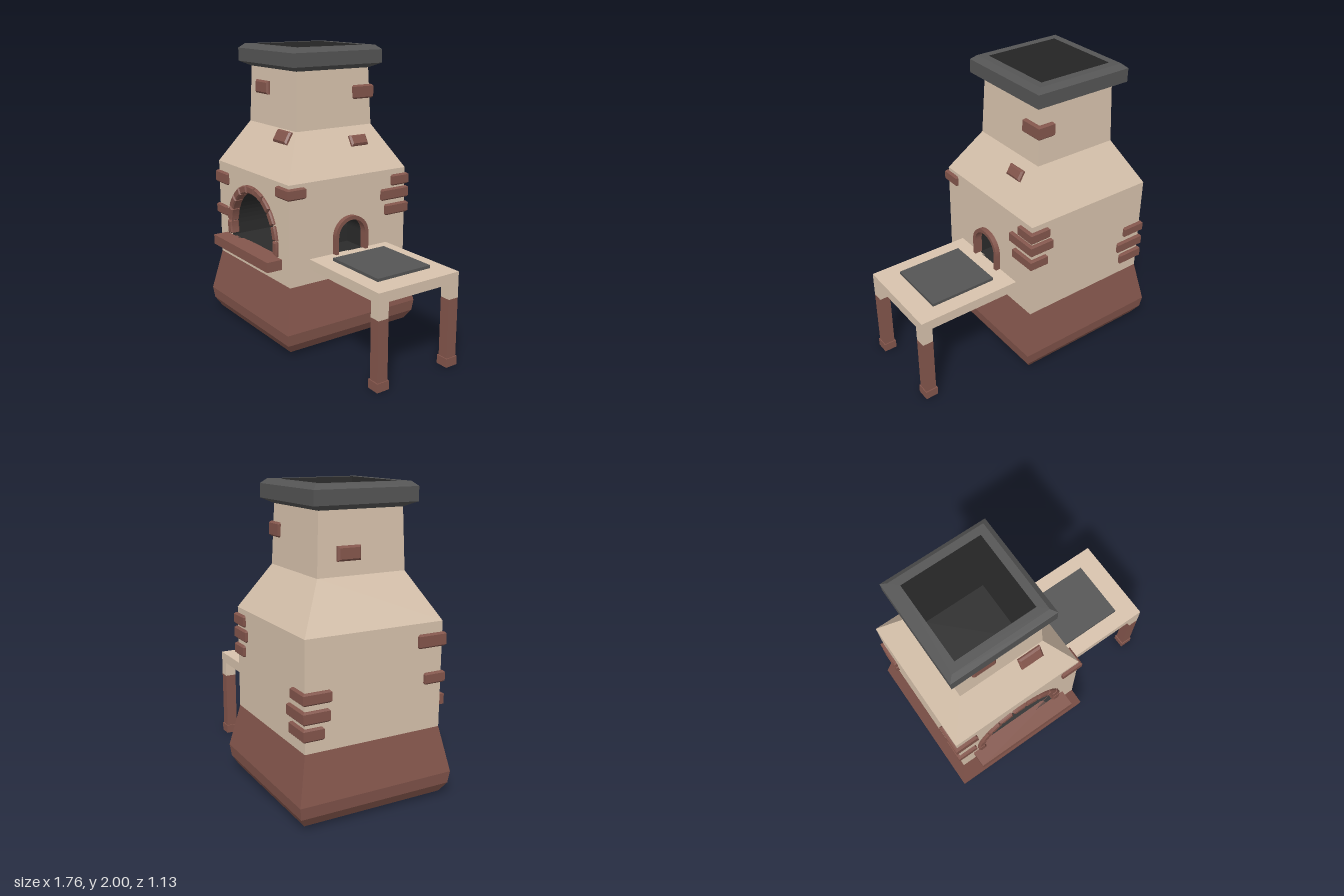
import * as THREE from 'three';

const mat = (color, side = THREE.FrontSide) =>
  new THREE.MeshStandardMaterial({ color, side, flatShading: true });

export function createModel() {
  const model = new THREE.Group();
  const oven = new THREE.Group();
  oven.name = 'oven';
  oven.position.set(-0.34, 0, -0.025);
  model.add(oven);

  const D = THREE.DoubleSide;
  const plaster = mat(0xd8c3ad), plasterThin = mat(0xd8c3ad, D);
  const brick = mat(0x84564c), brickThin = mat(0x84564c, D);
  const iron = mat(0x555555), ironThin = mat(0x555555, D);
  const soot = mat(0x2b2b2b, D);

  const add = (parent, name, geometry, material, x = 0, y = 0, z = 0) => {
    const mesh = new THREE.Mesh(geometry, material);
    mesh.name = name;
    mesh.position.set(x, y, z);
    parent.add(mesh);
    return mesh;
  };

  // Box given by its limits on each axis
  const block = (parent, name, material, [x0, x1], [y0, y1], [z0, z1]) =>
    add(parent, name, new THREE.BoxGeometry(x1 - x0, y1 - y0, z1 - z0), material,
      (x0 + x1) / 2, (y0 + y1) / 2, (z0 + z1) / 2);

  // Square shell from [half width, height] pairs
  const squareShell = (name, profile, material) => {
    const pts = profile.map(([h, y]) => new THREE.Vector2(h * Math.SQRT2, y));
    add(oven, name, new THREE.LatheGeometry(pts, 4, Math.PI / 4).toNonIndexed(), material);
  };

  // Turned frame: its +z looks out of the front, right, back or left face
  const faceFrame = (quarter) => {
    const frame = new THREE.Group();
    frame.name = ['frontFace', 'rightFace', 'backFace', 'leftFace'][quarter];
    frame.rotation.y = quarter * Math.PI / 2;
    oven.add(frame);
    return frame;
  };
  const faces = [0, 1, 2, 3].map(faceFrame);

  // Bevelled extrusion centred on z = 0, keeping the outline's size
  const bevelled = (shape, depth, bevel) => {
    const g = new THREE.ExtrudeGeometry(shape, {
      depth: depth - 2 * bevel, bevelEnabled: true, bevelSegments: 1,
      bevelSize: bevel, bevelThickness: bevel, bevelOffset: -bevel, curveSegments: 3,
    });
    return g.translate(0, 0, bevel - depth / 2);
  };
  const polygon = (pts) => new THREE.Shape(pts.map(([x, y]) => new THREE.Vector2(x, y)));

  const arch = (r, bottom, spring) => {
    const s = new THREE.Shape();
    s.moveTo(-r, bottom);
    s.lineTo(r, bottom);
    s.lineTo(r, spring);
    s.absarc(0, spring, r, 0, Math.PI, false);
    return s;
  };

  // Base, shoulder, chimney, cap and flue
  const W = 0.478, Y0 = 0.47, Y1 = 1.16;
  squareShell('base', [[0.42, 0], [0.49, 0.025], [0.53, 0.09], [0.54, 0.17], [W, Y0]], brickThin);
  squareShell('chimney', [[W, Y1], [0.305, 1.46], [0.29, 1.86]], plasterThin);
  squareShell('chimneyCap', [[0.285, 1.845], [0.357, 1.88], [0.357, 1.97], [0.323, 2], [0.27, 2]], ironThin);
  squareShell('flue', [[0.27, 2], [0.217, 1.45], [0, 1.45]], soot);

  // Upright walls, two of them with an arched opening and a niche behind
  const openings = [
    { r: 0.3, spring: 0.72, depth: 0.6 },
    { r: 0.112, spring: 0.755, depth: 0.22 },
  ];
  faces.forEach((face, i) => {
    const wall = polygon([[-W, Y0], [W, Y0], [W, Y1], [-W, Y1]]);
    const o = openings[i];
    if (o) {
      const outline = arch(o.r, 0.64, o.spring);
      wall.holes.push(outline);
      const pts = outline.getPoints(14), pos = [];
      pts.forEach((a, k) => {
        const b = pts[(k + 1) % pts.length], d = -o.depth;
        pos.push(a.x, a.y, 0, a.x, a.y, d, b.x, b.y, d, a.x, a.y, 0, b.x, b.y, d, b.x, b.y, 0);
      });
      const sides = new THREE.BufferGeometry();
      sides.setAttribute('position', new THREE.Float32BufferAttribute(pos, 3));
      sides.computeVertexNormals();
      add(face, 'nicheWalls', sides, soot, 0, 0, W);
      add(face, 'nicheBack', new THREE.ShapeGeometry(outline, 14), soot, 0, 0, W - o.depth);
    }
    add(face, 'wall', new THREE.ShapeGeometry(wall, 14), plasterThin, 0, 0, W);
  });

  // Brick arch round the front mouth
  const count = 11, start = -0.23, step = (Math.PI + 0.46) / count;
  for (let i = 0; i < count; i++) {
    const a0 = start + i * step + 0.012, a1 = start + (i + 1) * step - 0.012;
    const wedge = new THREE.Shape();
    wedge.absarc(0, 0, 0.342, a0, a1, false);
    wedge.absarc(0, 0, 0.287, a1, a0, true);
    add(faces[0], 'archBrick', bevelled(wedge, 0.07, 0.009), brick, 0, 0.72, W - 0.015);
  }
  block(oven, 'sill', brick, [-0.38, 0.38], [0.57, 0.64], [W - 0.03, 0.59]);

  // Rim of the small side opening
  const rim = arch(0.136, 0.64, 0.755);
  rim.holes.push(arch(0.11, 0.64, 0.755));
  add(faces[1], 'sideArch',
    new THREE.ExtrudeGeometry(rim, { depth: 0.055, bevelEnabled: false, curveSegments: 12 }),
    brick, 0, 0, W - 0.02);

  // Single bricks: face, offset along it, height, width, tall, half width there, lean
  [
    [0, -0.12, 1.715, 0.165, 0.09, 0.295, -0.04],
    [0, 0.19, 1.412, 0.165, 0.09, 0.333, -0.52],
    [1, 0.153, 1.365, 0.137, 0.075, 0.36, -0.52],
    [3, -0.095, 1.595, 0.16, 0.09, 0.3, -0.04],
  ].forEach(([f, u, y, w, h, half, lean]) => {
    const s = polygon([[-w / 2, -h / 2], [w / 2, -h / 2], [w / 2, h / 2], [-w / 2, h / 2]]);
    add(faces[f], 'wallBrick', bevelled(s, 0.05, 0.012), brick, u, y, half).rotation.x = lean;
  });

  // Corner bricks: quarter turn, reach along each face, height, tall, half width there
  [
    [0, 0.155, 0.14, 1.098, 0.076, W],
    [1, 0.145, 0.15, 1.083, 0.077, W],
    [1, 0.235, 0.18, 0.988, 0.08, W],
    [1, 0.2, 0.14, 0.878, 0.077, W],
    [1, 0.165, 0.13, 1.688, 0.093, 0.297],
    [2, 0.17, 0.19, 0.807, 0.075, W],
    [2, 0.22, 0.18, 0.693, 0.08, W],
    [2, 0.19, 0.14, 0.588, 0.08, W],
    [3, 0.2, 0.17, 1.047, 0.088, W],
    [3, 0.15, 0.145, 0.805, 0.074, W],
  ].forEach(([f, a, b, y, h, half]) => {
    const p = half + 0.02, q = half - 0.015;
    const s = polygon([[p - a, -p], [p, -p], [p, b - p], [q, b - p], [q, -q], [p - a, -q]]);
    add(faces[f], 'cornerBrick', bevelled(s, h, 0.01).rotateX(-Math.PI / 2), brick, 0, y, 0);
  });

  // Side table with its hot plate and two legs
  const table = new THREE.Group();
  table.name = 'sideTable';
  model.add(table);
  block(table, 'tableTop', plaster, [0.13, 0.87], [0.57, 0.64], [-0.342, 0.3]);
  block(table, 'hotPlate', iron, [0.25, 0.72], [0.635, 0.66], [-0.235, 0.19]);
  for (const z of [0.262, -0.304]) {
    block(table, 'legTop', plaster, [0.795, 0.87], [0.465, 0.57], [z - 0.038, z + 0.038]);
    block(table, 'leg', brick, [0.795, 0.87], [0.05, 0.465], [z - 0.038, z + 0.038]);
    block(table, 'foot', brick, [0.787, 0.876], [0, 0.06], [z - 0.045, z + 0.045]);
  }
  return model;
}
